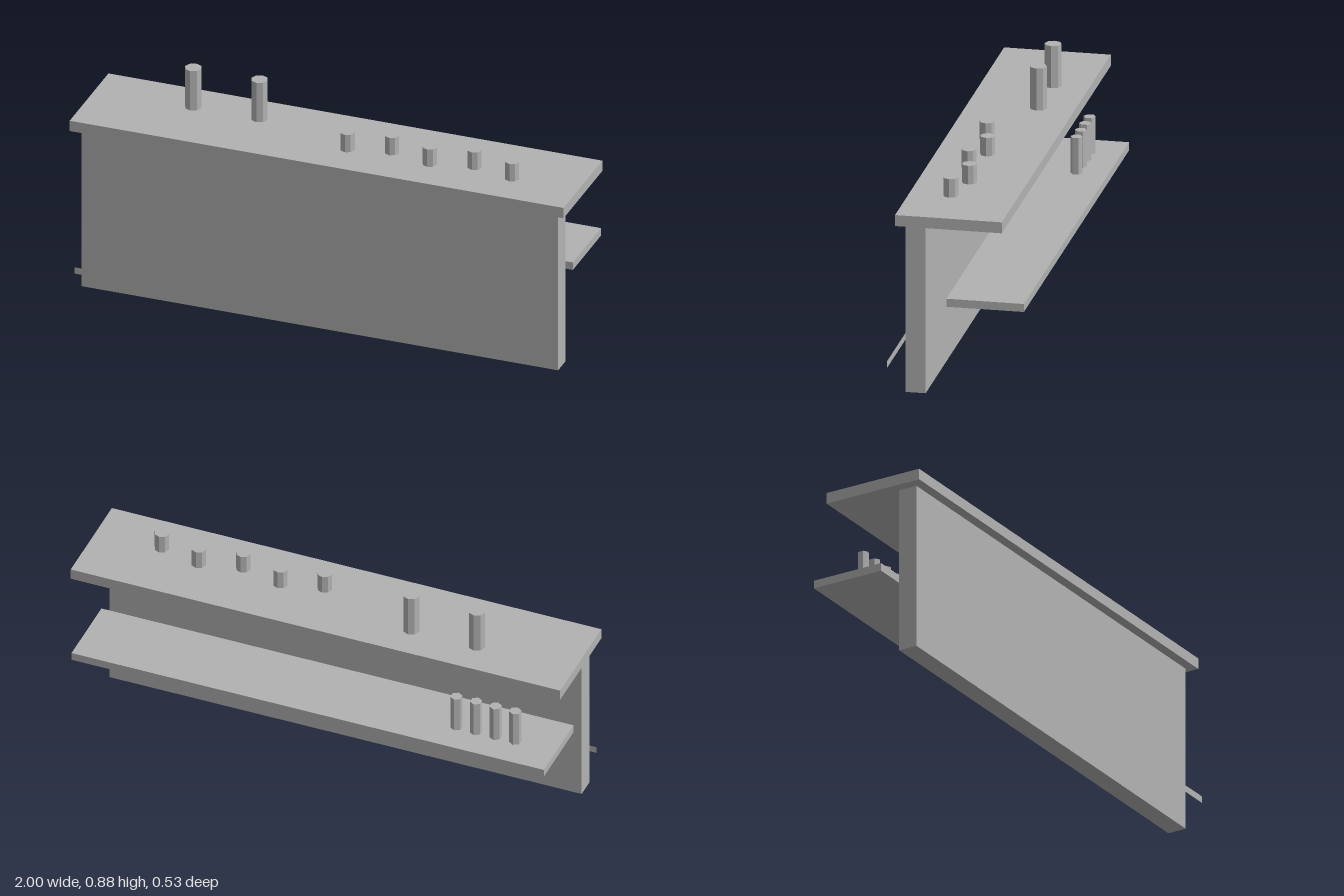
import * as THREE from 'three';

export function createModel() {
  const group = new THREE.Group();
  group.name = 'barCounter';
  const grey = new THREE.MeshStandardMaterial({ color: 0xb2b2b2, side: THREE.DoubleSide });
  grey.name = 'plain grey';

  const add = (name, geometry, x, y, z) => {
    const mesh = new THREE.Mesh(geometry, grey);
    mesh.name = name;
    mesh.position.set(x, y, z);
    group.add(mesh);
  };
  // box given by its y and z ranges, centred on x
  const slab = (name, width, y0, y1, z0, z1) =>
    add(name, new THREE.BoxGeometry(width, y1 - y0, z1 - z0), 0, (y0 + y1) / 2, (z0 + z1) / 2);
  // faceted upright cylinder standing on y
  const peg = (name, radius, height, sides, x, y, z) => {
    const geometry = new THREE.CylinderGeometry(radius, radius, height, sides).toNonIndexed();
    geometry.computeVertexNormals();
    add(name, geometry, x, y + height / 2, z);
  };

  // main boards
  slab('frontWall', 1.93, 0, 0.668, 0.115, 0.192);
  slab('counterTop', 2, 0.673, 0.717, -0.187, 0.226);
  slab('backShelf', 1.93, 0.352, 0.384, -0.265, 0.035);

  // flat panels on the front wall
  for (let i = 0; i < 6; i++) {
    add('frontPanel', new THREE.PlaneGeometry(0.267, 0.48), (i - 2.5) * 0.32, 0.334, 0.194);
  }

  // foot rail, a flat strip standing off the wall
  add('footRail', new THREE.PlaneGeometry(1.93, 0.027), 0, 0.103, 0.265);

  // tall and short vessels on the counter
  for (const x of [-0.603, -0.335]) peg('tallVessel', 0.033, 0.168, 8, x, 0.717, -0.047);
  [0.065, 0.231, 0.398, 0.565, 0.731].forEach((x, i) =>
    peg('cup', 0.029, 0.074, 8, x, 0.717, i % 2 ? 0.03 : 0.067));

  // bottles on the back shelf
  for (let i = 0; i < 4; i++) peg('shelfBottle', 0.0235, 0.146, 6, -0.8 + i * 0.08, 0.389, -0.147);

  return group;
}
